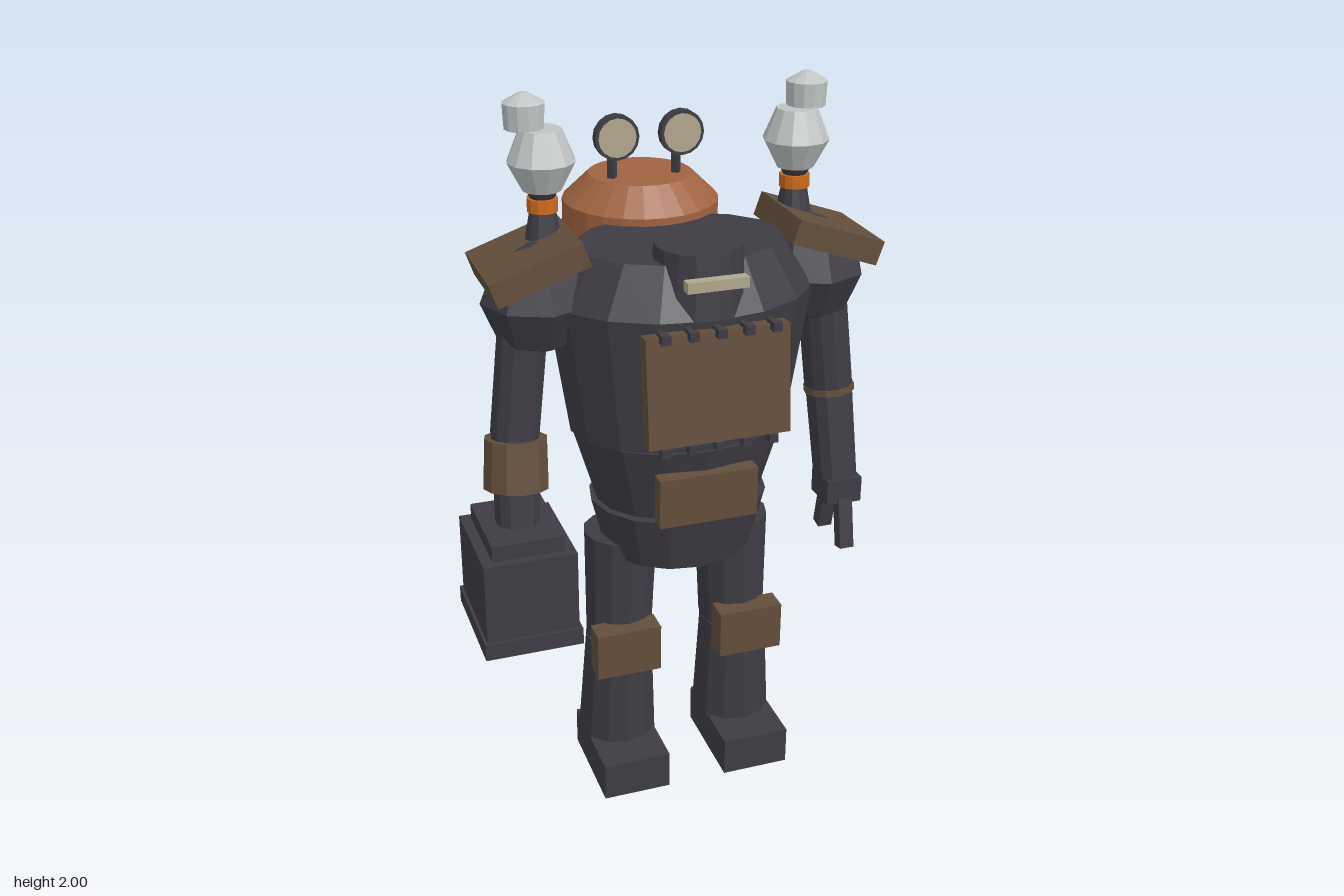
import * as THREE from 'three';

const mat = (name, color) => {
  const m = new THREE.MeshStandardMaterial({ color, flatShading: true });
  m.name = name;
  return m;
};

export function createModel() {
  const iron = mat('dark iron', 0x3e3c43);
  const bronze = mat('brown plate', 0x624e3b);
  const copper = mat('copper', 0xa06340);
  const silver = mat('silver', 0xc0c4c5);
  const orange = mat('orange', 0xd06a1c);
  const cream = mat('cream', 0xb0a68c);

  const model = new THREE.Group();
  const body = new THREE.Group();
  body.name = 'body';
  body.position.x = 0.033; // the figure's own centre line
  model.add(body);

  const add = (name, geo, material, x = 0, y = 0, z = 0) => {
    const m = new THREE.Mesh(geo, material);
    m.name = name;
    m.position.set(x, y, z);
    body.add(m);
    return m;
  };
  const box = (name, material, w, h, d, x, y, z) =>
    add(name, new THREE.BoxGeometry(w, h, d), material, x, y, z);
  // upright turned part from [radius, y] pairs, bottom to top
  const turned = (name, material, pts, sides, x, z, depth = 1) => {
    const geo = new THREE.LatheGeometry(pts.map(p => new THREE.Vector2(p[0], p[1])), sides);
    geo.scale(1, 1, depth);
    return add(name, geo, material, x, 0, z);
  };
  // tapered cylinder from point a (radius ra) to point b (radius rb)
  const limb = (name, material, a, b, ra, rb, sides = 12) => {
    const A = new THREE.Vector3(...a), B = new THREE.Vector3(...b);
    const dir = B.clone().sub(A);
    const m = add(name, new THREE.CylinderGeometry(ra, rb, dir.length(), sides), material);
    m.position.copy(A).add(B).multiplyScalar(0.5);
    m.quaternion.setFromUnitVectors(new THREE.Vector3(0, -1, 0), dir.normalize());
    return m;
  };

  // Torso
  turned('pelvis', iron, [[0, 0.72], [0.212, 0.72], [0.252, 0.88], [0, 0.88]], 16, 0, 0.11, 0.87);
  turned('abdomen', iron, [[0, 0.86], [0.228, 0.86], [0.3, 1.1], [0, 1.1]], 16, 0, 0.11, 0.81);
  turned('chest', iron, [[0, 1.1], [0.306, 1.1], [0.364, 1.48], [0.28, 1.61], [0, 1.61]], 16, 0, 0.112, 0.75)
    .scale.z = 1;
  turned('head', iron, [[0, 1.48], [0.133, 1.48], [0.113, 1.645], [0, 1.645]], 16, 0, 0.256);
  box('faceGrille', cream, 0.163, 0.028, 0.03, 0, 1.58, 0.39);

  // Front plates and bolts
  box('chestPlate', bronze, 0.384, 0.292, 0.045, 0, 1.315, 0.403).rotation.x = -0.1;
  for (let i = -2; i <= 2; i++) {
    for (const y of [1.465, 1.157]) box('plateBolt', iron, 0.024, 0.024, 0.024, i * 0.0735, y, 0.428);
    for (const [y, z] of [[1.465, 0.4], [1.157, 0.41]])
      box('boltShank', iron, 0.014, 0.014, 0.04, i * 0.0735, y, z);
  }
  box('beltPlate', bronze, 0.275, 0.14, 0.045, 0, 0.97, 0.343);

  // Boiler on the back
  turned('boiler', copper,
    [[0, 1.08], [0.218, 1.08], [0.218, 1.63], [0.145, 1.7], [0, 1.7]], 24, 0, -0.216);
  for (const y of [1.205, 1.537])
    add('boilerBand', new THREE.CylinderGeometry(0.226, 0.226, 0.033, 24), iron, 0, y, -0.216);

  // Gauges above the boiler
  for (const s of [-1, 1]) {
    const x = s * 0.092;
    add('gaugeStem', new THREE.CylinderGeometry(0.014, 0.014, 0.1, 4), iron, x, 1.72, -0.18);
    limb('gaugeBracket', iron, [x, 1.765, -0.18], [x, 1.785, -0.14], 0.012, 0.012, 4);
    add('gaugeCase', new THREE.CylinderGeometry(0.062, 0.062, 0.026, 16), iron, x, 1.822, -0.14)
      .rotation.x = Math.PI / 2;
    add('gaugeFace', new THREE.CylinderGeometry(0.053, 0.053, 0.004, 16), cream, x, 1.822, -0.126)
      .rotation.x = Math.PI / 2;
  }

  for (const s of [-1, 1]) {
    // Legs
    limb('thigh', iron, [s * 0.166, 0.77, 0.1], [s * 0.174, 0.435, 0.1], 0.105, 0.096);
    limb('shin', iron, [s * 0.176, 0.435, 0.11], [s * 0.181, 0.1, 0.096], 0.097, 0.115);
    box('kneePad', bronze, 0.187, 0.14, 0.07, s * 0.184, 0.44, 0.205);
    box('foot', iron, 0.196, 0.112, 0.295, s * 0.184, 0.056, 0.158);

    // Shoulders and arms
    add('shoulder', new THREE.SphereGeometry(0.153, 8, 4), iron, s * 0.38, 1.485, 0.093);
    limb('upperArm', iron, [s * 0.42, 1.44, 0.093], [s * 0.457, 1.115, 0.1], 0.068, 0.068);
    limb('forearm', iron, [s * 0.457, 1.125, 0.1], [s * 0.47, 0.86, 0.147], 0.066, 0.062);
    box('shoulderPlate', bronze, 0.258, 0.067, 0.272, s * 0.404, 1.59, 0.093).rotation.z = -s * 0.335;

    // Shoulder insulators
    const x = s * 0.348;
    turned('insulatorNeck', iron, [[0.058, 1.58], [0.035, 1.7], [0, 1.7]], 12, x, 0.048);
    add('insulatorRing', new THREE.CylinderGeometry(0.041, 0.041, 0.035, 12), orange, x, 1.718, 0.048);
    add('insulatorCollar', new THREE.CylinderGeometry(0.045, 0.03, 0.03, 12), iron, x, 1.746, 0.048);
    turned('insulatorBulb', silver,
      [[0, 1.755], [0.05, 1.755], [0.089, 1.83], [0.055, 1.912], [0, 1.912]], 12, x, 0.048);
    turned('insulatorCap', silver,
      [[0, 1.91], [0.052, 1.91], [0.055, 1.975], [0.012, 2], [0, 2]], 12, s * 0.383, 0.024);
  }

  // Left wrist band and claw
  limb('wristBand', bronze, [0.457, 1.128, 0.1], [0.458, 1.11, 0.102], 0.072, 0.072);
  box('palm', iron, 0.105, 0.075, 0.11, 0.475, 0.83, 0.15);
  for (const s of [-1, 1])
    box('clawFinger', iron, 0.042, 0.15, 0.038, 0.475, 0.735, 0.148 + s * 0.062).rotation.x = -s * 0.2;

  // Right cuff and carried case
  limb('forearmCuff', bronze, [-0.456, 1.1, 0.103], [-0.466, 0.965, 0.128], 0.086, 0.09);
  box('caseCap', iron, 0.198, 0.06, 0.255, -0.474, 0.845, 0.148);
  box('caseBody', iron, 0.256, 0.24, 0.303, -0.474, 0.71, 0.148);
  box('caseBase', iron, 0.272, 0.048, 0.325, -0.474, 0.575, 0.148);

  return model;
}
